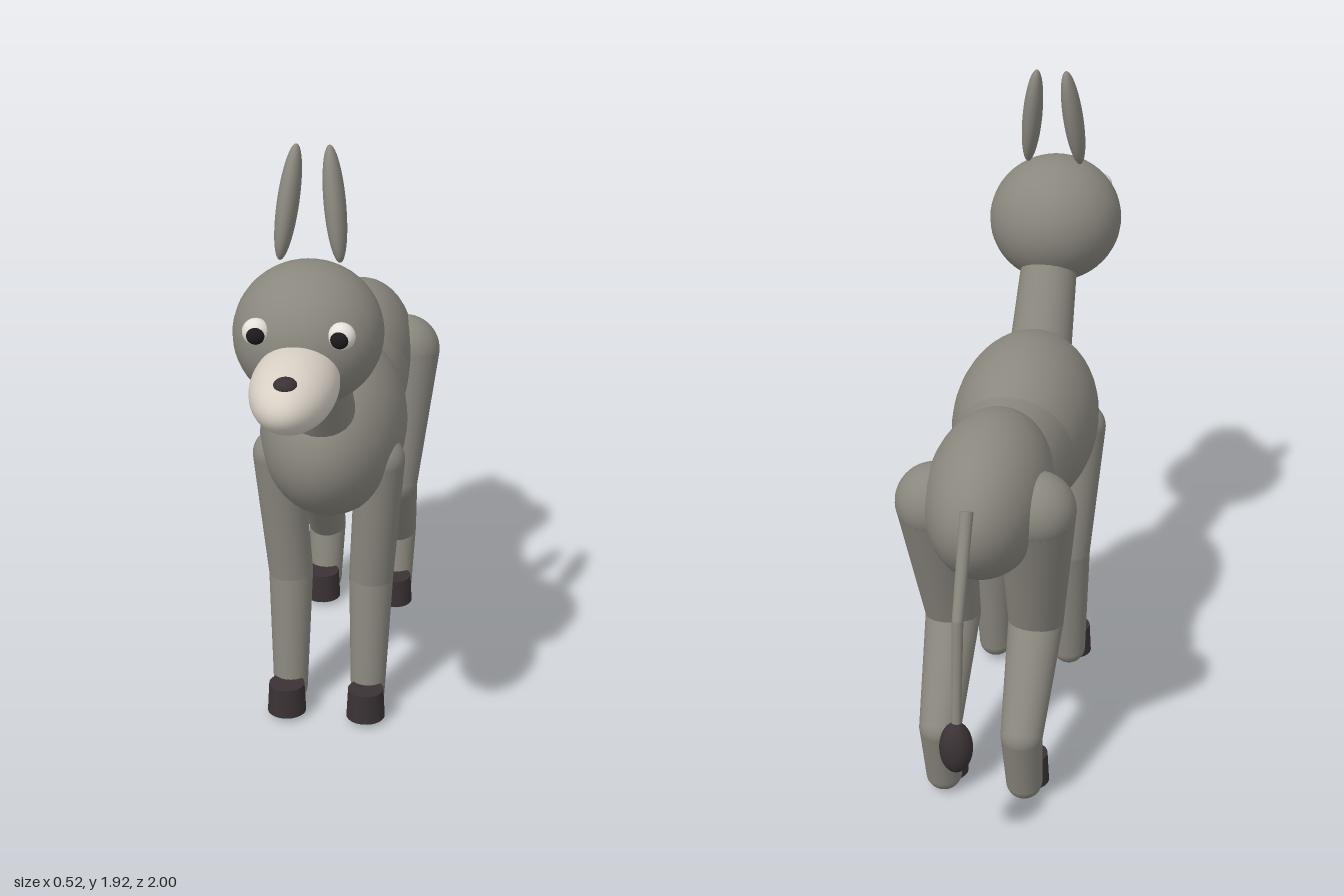
import * as THREE from 'three';

const mat = (name, color) => {
  const m = new THREE.MeshStandardMaterial({ color });
  m.name = name;
  return m;
};

export function createModel() {
  const group = new THREE.Group();
  const coat = mat('greyCoat', 0x8a877e);
  const cream = mat('creamMuzzle', 0xd8d0c5);
  const white = mat('eyeWhite', 0xe6e2da);
  const dark = mat('darkHoof', 0x3a3234);
  const black = mat('pupilBlack', 0x1c1a1a);

  const add = (name, geo, material, pos, parent = group) => {
    const m = new THREE.Mesh(geo, material);
    m.name = name;
    m.position.set(...pos);
    parent.add(m);
    return m;
  };
  // Ellipsoid from its centre and three radii
  const ball = (name, pos, radii, material, parent) => {
    const m = add(name, new THREE.SphereGeometry(1, 40, 28), material, pos, parent);
    m.scale.set(...radii);
    return m;
  };
  // Tapered limb between two points
  const limb = (name, a, b, ra, rb, material, parent) => {
    const from = new THREE.Vector3(...a), to = new THREE.Vector3(...b);
    const dir = to.clone().sub(from);
    const m = add(name, new THREE.CylinderGeometry(rb, ra, dir.length(), 28), material,
      from.clone().add(to).multiplyScalar(0.5).toArray(), parent);
    m.quaternion.setFromUnitVectors(new THREE.Vector3(0, 1, 0), dir.normalize());
    return m;
  };

  // Body
  ball('chest', [0, 0.93, 0.05], [0.22, 0.265, 0.35], coat);
  ball('rump', [0, 0.95, -0.48], [0.18, 0.228, 0.315], coat);
  const barrel = limb('barrel', [0, 0.918, -0.105], [0, 0.918, -0.45], 0.203, 0.193, coat);
  barrel.scale.x = 0.91;

  // Neck and head
  limb('neck', [0, 1.0, 0.245], [0, 1.37, 0.48], 0.1, 0.085, coat);
  ball('head', [0, 1.415, 0.54], [0.208, 0.2, 0.215], coat);
  ball('muzzle', [0, 1.353, 0.78], [0.118, 0.102, 0.22], cream);
  ball('nose', [0, 1.416, 0.925], [0.033, 0.023, 0.032], dark);

  // Legs: chains of tapered limbs with round joints, each joint [x, y, z, radius]
  const legs = {
    front: [[0.155, 0.87, 0.165, 0.075], [0.125, 0.45, 0.12, 0.068], [0.122, 0.065, 0.162, 0.053]],
    hind: [[0.148, 0.94, -0.545, 0.113], [0.125, 0.515, -0.43, 0.082],
      [0.122, 0.24, -0.635, 0.062], [0.122, 0.055, -0.595, 0.054]],
  };

  for (const s of [1, -1]) {
    const side = s > 0 ? 'left' : 'right';

    const ear = ball(side + 'Ear', [s * 0.064, 1.765, 0.477], [0.03, 0.16, 0.045], coat);
    ear.rotation.set(-0.2, 0, s * 0.12);

    ball(side + 'Eye', [s * 0.115, 1.475, 0.708], [0.038, 0.038, 0.034], white);
    ball(side + 'Pupil', [s * 0.113, 1.473, 0.73], [0.025, 0.025, 0.02], black);

    for (const [kind, joints] of Object.entries(legs)) {
      const leg = new THREE.Group();
      leg.name = `${side}${kind === 'front' ? 'Front' : 'Hind'}Leg`;
      group.add(leg);
      joints.forEach(([x, y, z, r], i) => {
        ball('joint', [s * x, y, z], [r, r, r], coat, leg);
        if (i === 0) return;
        const [px, py, pz, pr] = joints[i - 1];
        limb('segment', [s * px, py, pz], [s * x, y, z], pr, r, coat, leg);
      });
      const foot = joints[joints.length - 1];
      add('hoof', new THREE.CylinderGeometry(0.055, 0.06, 0.095, 28), dark,
        [s * 0.124, 0.064, foot[2] + 0.066], leg);
    }
  }

  // Tail with tuft
  const tail = new THREE.Group();
  tail.name = 'tail';
  group.add(tail);
  limb('tailUpper', [0, 1.045, -0.785], [0, 0.775, -0.912], 0.019, 0.016, coat, tail);
  limb('tailLower', [0, 0.775, -0.912], [0, 0.42, -0.95], 0.016, 0.013, coat, tail);
  ball('tailBend', [0, 0.775, -0.912], [0.016, 0.016, 0.016], coat, tail);
  ball('tailTuft', [0, 0.394, -0.952], [0.047, 0.078, 0.047], dark, tail);

  return group;
}
